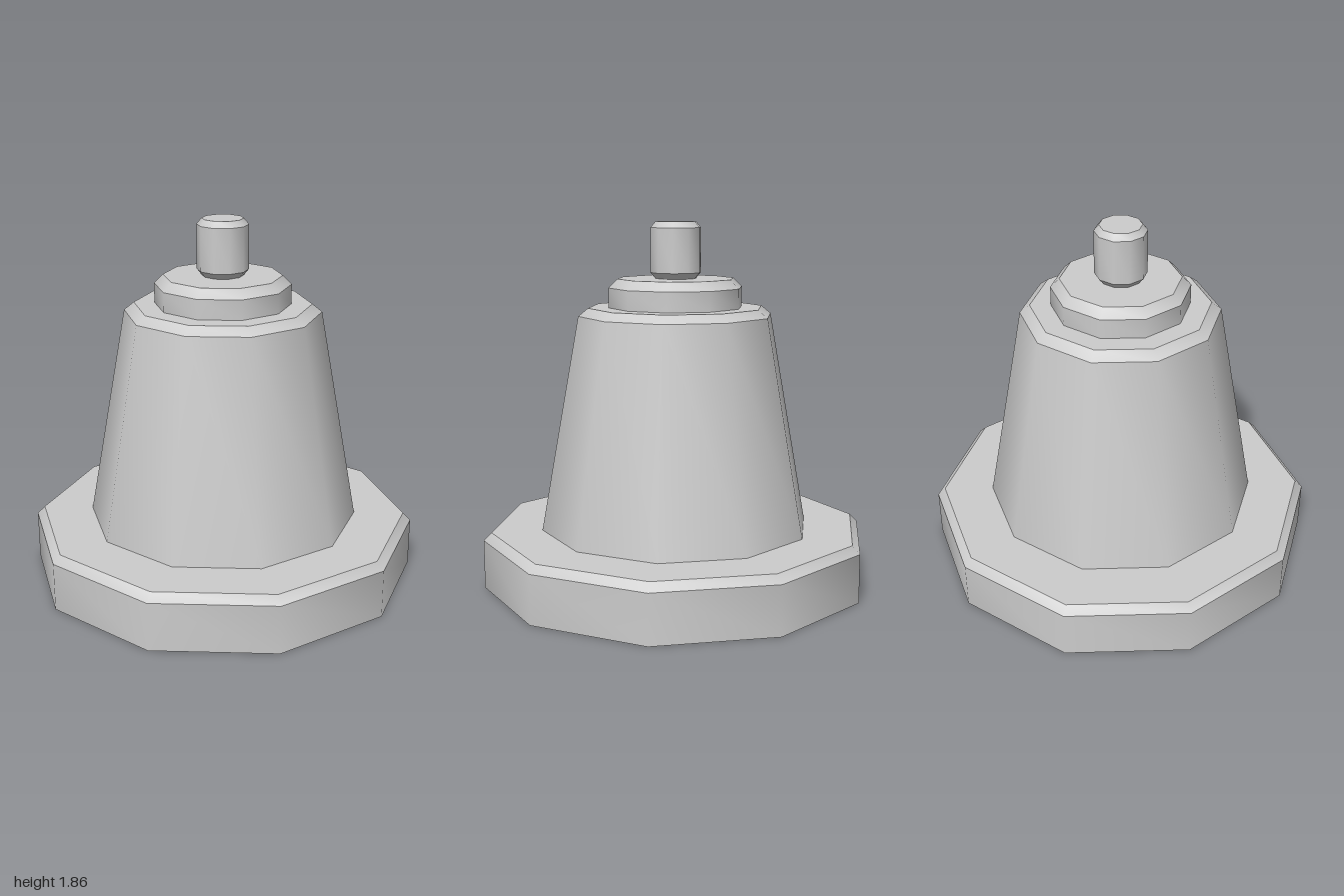
import * as THREE from 'three';
import { toCreasedNormals } from 'three/addons/utils/BufferGeometryUtils.js';

const SIDES = 10;
const CREASE = 0.645; // just above the 36 degree turn between neighbouring sides

// Ten-sided turned part from [radius, height] points listed bottom to top.
function turned(name, profile, material) {
  const points = profile.map(([r, y]) => new THREE.Vector2(r, y));
  const lathe = new THREE.LatheGeometry(points, SIDES, Math.PI / 2);
  const mesh = new THREE.Mesh(toCreasedNormals(lathe, CREASE), material);
  mesh.name = name;
  return mesh;
}

export function createModel() {
  const group = new THREE.Group();
  group.name = 'steppedBell';
  const grey = new THREE.MeshStandardMaterial({ color: 0xcccccc });

  // Each part starts where the top of the one below it ends.
  const parts = {
    // wide plinth with closed underside and bevelled rim
    base: [[0, 0], [1, 0], [1, 0.25], [0.96, 0.29], [0.7, 0.29]],
    // tapered body with bevelled shoulder
    body: [[0.7, 0.29], [0.5, 1.39], [0.45, 1.43], [0.345, 1.43]],
    // low disc on the shoulder
    collar: [[0.345, 1.43], [0.345, 1.53], [0.3, 1.575], [0.105, 1.575]],
    // knob bevelled at both ends
    knob: [[0.105, 1.575], [0.13, 1.605], [0.13, 1.83], [0.105, 1.86], [0, 1.86]],
  };
  for (const [name, profile] of Object.entries(parts)) {
    group.add(turned(name, profile, grey));
  }
  return group;
}
